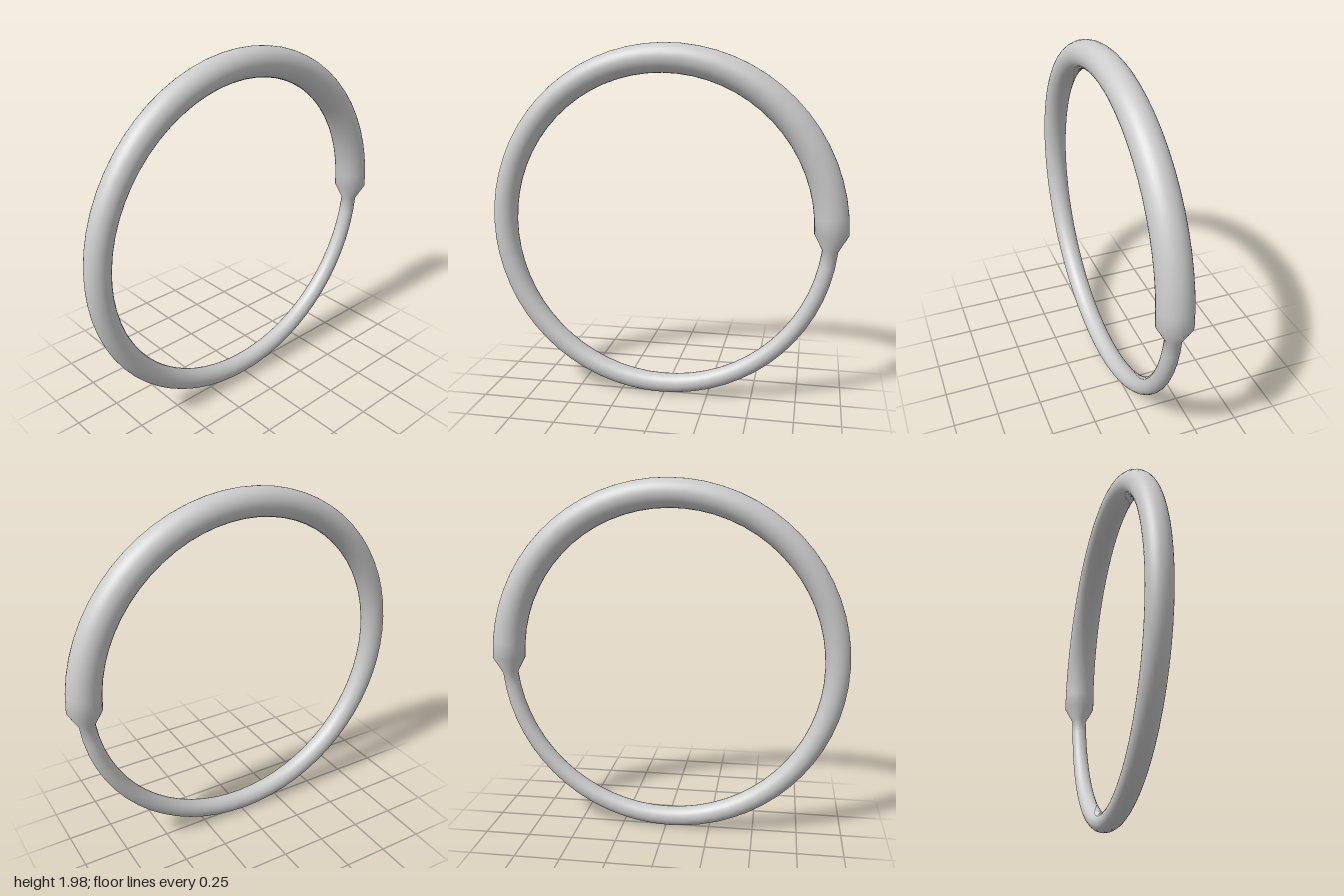
import * as THREE from 'three';
import { mergeVertices } from 'three/addons/utils/BufferGeometryUtils.js';

const RING = 0.9205;   // radius of the centre line
const THICK = 0.092;   // tube radius at the start
const THIN = 0.042;    // tube radius at the end of the turn
const SEGMENTS = 64;
const SIDES = 32;

// Closed ring whose tube thins over one full turn, then steps back to full width
function taperedRing() {
  let geo = new THREE.TorusGeometry(RING, THICK, SIDES, SEGMENTS);
  const pos = geo.attributes.position;
  const p = new THREE.Vector3();
  const centre = new THREE.Vector3();
  for (let i = 0; i < pos.count; i++) {
    const step = (i % (SEGMENTS + 1)) % SEGMENTS;
    const angle = (step / SEGMENTS) * Math.PI * 2;
    const radius = THREE.MathUtils.lerp(THICK, THIN, step / SEGMENTS);
    centre.set(Math.cos(angle) * RING, Math.sin(angle) * RING, 0);
    p.fromBufferAttribute(pos, i).sub(centre).multiplyScalar(radius / THICK).add(centre);
    pos.setXYZ(i, p.x, p.y, p.z);
  }
  // Weld the seams so the shading runs on smoothly
  geo.deleteAttribute('uv');
  geo.deleteAttribute('normal');
  geo = mergeVertices(geo, 1e-5);
  geo.computeVertexNormals();
  return geo;
}

export function createModel() {
  const group = new THREE.Group();
  group.name = 'ring';
  const ring = new THREE.Mesh(taperedRing(), new THREE.MeshStandardMaterial({ color: 0xcccccc }));
  ring.name = 'taperedRing';
  ring.position.set(-0.0125, 0.975, 0);
  group.add(ring);
  return group;
}
